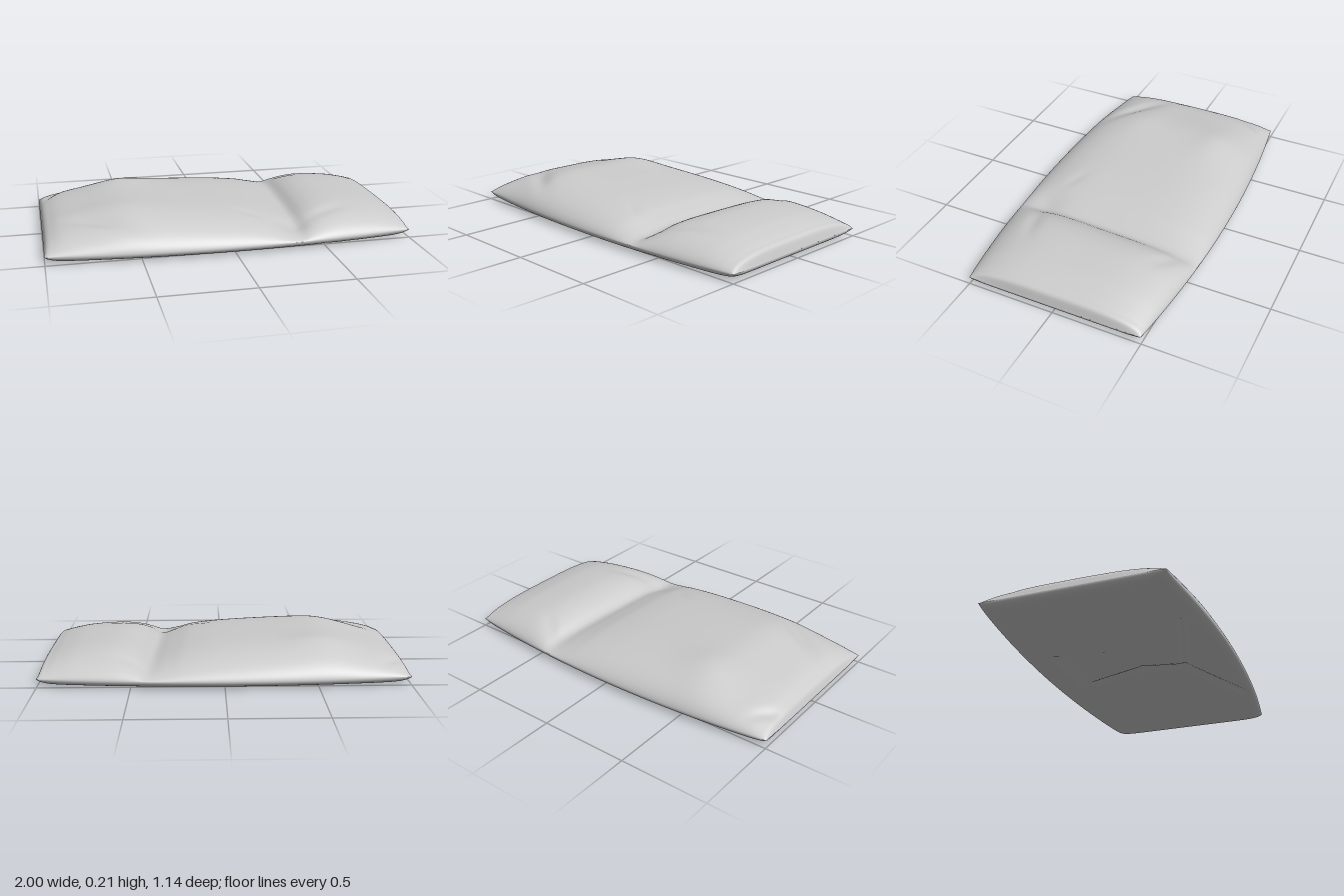
import * as THREE from 'three';

const RIM = 0.045; // height of the side seam
const ROWS = 150, SIDES = 180;

// Crest height along the length: [x, y]
const CREST = [
  [-1, 0.045], [-0.985, 0.085], [-0.95, 0.112], [-0.9, 0.135], [-0.8, 0.16], [-0.58, 0.202],
  [-0.42, 0.203], [0, 0.177], [0.2, 0.15], [0.3, 0.12], [0.39, 0.095], [0.45, 0.133],
  [0.52, 0.159], [0.62, 0.17], [0.8, 0.157], [0.9, 0.135], [0.95, 0.118], [0.985, 0.098], [1, 0.045],
];

// Dents (negative) and swells on the top: x, z, radius along, radius across, turn, height
const DENTS = [
  [-0.68, 0.34, 0.2, 0.05, 0.6, -0.022],
  [-0.6, 0.2, 0.25, 0.1, 0.3, 0.006],
  [-0.92, -0.38, 0.08, 0.03, -0.9, -0.015],
  [-0.5, -0.3, 0.16, 0.12, 0, 0.016],
  [0.34, 0.42, 0.1, 0.09, 0, -0.018],
  [0.52, -0.42, 0.09, 0.04, 0.6, -0.012],
  [0.55, 0.36, 0.12, 0.04, -0.3, -0.012],
  [0.12, 0.33, 0.08, 0.03, 0.5, -0.005],
];

// Wrinkles pressed into the underside: x1, z1, x2, z2, depth
const WRINKLES = [
  [0.5, 0.5, 0, 0.28, 0.02], [0, 0.28, -0.05, 0.04, 0.025], [-0.05, 0.04, 0.06, -0.3, 0.02],
  [0.06, -0.37, -0.34, -0.37, 0.018], [0, 0.28, -0.54, 0.43, 0.014], [-0.05, 0.04, -0.3, -0.1, 0.01],
  [0.06, -0.1, 0.25, -0.15, 0.012],
];

// Smooth curve through the crest points
function crest(x) {
  const P = CREST, last = P.length - 1;
  let i = 0;
  while (i < last - 1 && x > P[i + 1][0]) i++;
  const slope = (k) => {
    const a = P[Math.max(k - 1, 0)], b = P[Math.min(k + 1, last)];
    return (b[1] - a[1]) / (b[0] - a[0]);
  };
  const [x0, y0] = P[i], [x1, y1] = P[i + 1], d = x1 - x0;
  const t = THREE.MathUtils.clamp((x - x0) / d, 0, 1), t2 = t * t, t3 = t2 * t;
  return (2 * t3 - 3 * t2 + 1) * y0 + (t3 - 2 * t2 + t) * d * slope(i)
    + (3 * t2 - 2 * t3) * y1 + (t3 - t2) * d * slope(i + 1);
}

function dents(x, z) {
  let sum = 0;
  for (const [cx, cz, rx, rz, turn, h] of DENTS) {
    const c = Math.cos(turn), s = Math.sin(turn), dx = x - cx, dz = z - cz;
    sum += h * Math.exp(-(((dx * c + dz * s) / rx) ** 2) - ((dz * c - dx * s) / rz) ** 2);
  }
  return sum;
}

function wrinkles(x, z) {
  let deepest = 0;
  for (const [x1, z1, x2, z2, depth] of WRINKLES) {
    const ax = x2 - x1, az = z2 - z1;
    const t = THREE.MathUtils.clamp(((x - x1) * ax + (z - z1) * az) / (ax * ax + az * az), 0, 1);
    const d = Math.hypot(x - x1 - t * ax, z - z1 - t * az);
    deepest = Math.max(deepest, depth * Math.exp(-((d / 0.025) ** 2)));
  }
  return deepest;
}

// Closed cross-sections lofted along x
function bagGeometry() {
  const pos = [], index = [];
  for (let i = 0; i <= ROWS; i++) {
    const x = Math.sin((i / ROWS - 0.5) * Math.PI);
    const half = 0.572 - 0.075 * x * x;
    const endFade = Math.sqrt(Math.max(0, 1 - Math.abs(x) ** 24));
    for (let j = 0; j < SIDES; j++) {
      const a = (j / SIDES) * Math.PI * 2;
      const s = Math.cos(a), z = half * s, edge = Math.abs(s);
      let y;
      if (Math.sin(a) >= 0) {
        // domed top, with the trench running slightly askew
        const dome = Math.max(0, 1 - edge ** 3.4) ** 0.62;
        const skew = 0.05 * z * Math.exp(-(((x - 0.38) / 0.25) ** 2));
        y = RIM + (crest(x + skew) - RIM + dents(x, z) * endFade) * dome;
      } else {
        // flat underside curling up to the seam
        const flat = Math.sqrt(Math.max(0, 1 - edge ** 12)) * endFade;
        y = RIM + (wrinkles(x, z) - RIM) * flat;
      }
      pos.push(x, y, z);
    }
  }
  for (let i = 0; i < ROWS; i++) {
    for (let j = 0; j < SIDES; j++) {
      const k = (j + 1) % SIDES;
      const a = i * SIDES + j, b = a + SIDES, c = i * SIDES + k, d = c + SIDES;
      index.push(a, b, c, b, d, c);
    }
  }
  const geo = new THREE.BufferGeometry();
  geo.setAttribute('position', new THREE.Float32BufferAttribute(pos, 3));
  geo.setIndex(index);
  geo.computeVertexNormals();
  return geo;
}

export function createModel() {
  const group = new THREE.Group();
  group.name = 'sandbag';
  const bag = new THREE.Mesh(bagGeometry(), new THREE.MeshStandardMaterial({ color: 0xcccccc }));
  bag.name = 'filledBag';
  group.add(bag);
  return group;
}
